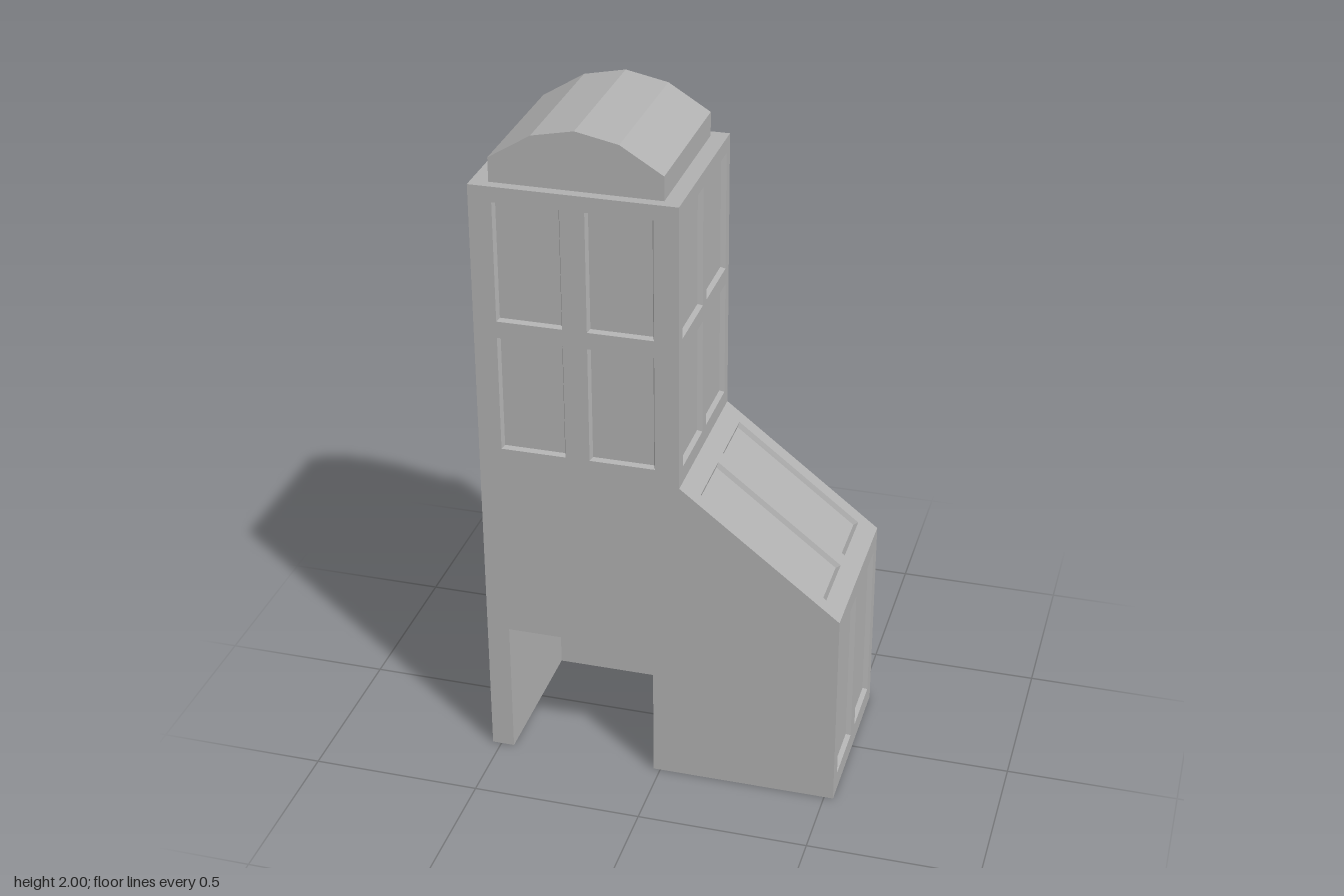
import * as THREE from 'three';
import { mergeGeometries } from 'three/addons/utils/BufferGeometryUtils.js';

const X0 = -0.527, X1 = 0.527, XT = 0.06, Z = 0.267; // body and tower limits
const TOP = 1.83, SHOULDER = 0.98, EAVE = 0.615;
const DEPTH = 0.014, TAPER = 0.006;                   // window recess
const IN_X = 0.46, IN_Z = 0.2, DOOR_X = -0.02, DOOR_Y = 0.42;

const V = (x, y, z) => new THREE.Vector3(x, y, z);
const toShape = pts => new THREE.Shape(pts.map(p => new THREE.Vector2(p[0], p[1])));
const rect = (x0, y0, x1, y1) => [[x0, y0], [x1, y0], [x1, y1], [x0, y1]];

// Flat four-sided face, corners counter-clockwise seen from its front
function quad(a, b, c, d) {
  const g = new THREE.BufferGeometry();
  g.setAttribute('position', new THREE.Float32BufferAttribute([a, b, c, a, c, d].flat(), 3));
  g.computeVertexNormals();
  return g;
}

export function createModel() {
  const model = new THREE.Group();
  const stone = new THREE.MeshStandardMaterial({ color: 0xb0b0b0, side: THREE.DoubleSide });
  stone.name = 'grey stone';

  function add(name, geometry) {
    const mesh = new THREE.Mesh(geometry, stone);
    mesh.name = name;
    model.add(mesh);
    return mesh;
  }

  // Wall drawn in its own plane, with recessed panels [x0, y0, x1, y1]
  function wall(name, outline, panels, origin, normal, up = V(0, 1, 0)) {
    const shape = toShape(outline);
    const parts = [];
    for (const [x0, y0, x1, y1] of panels) {
      const outer = rect(x0, y0, x1, y1);
      const inner = rect(x0 + TAPER, y0 + TAPER, x1 - TAPER, y1 - TAPER);
      shape.holes.push(new THREE.Path(outer.map(p => new THREE.Vector2(...p))));
      const o = outer.map(p => [...p, 0]), n = inner.map(p => [...p, -DEPTH]);
      parts.push(quad(...n));
      for (let i = 0; i < 4; i++) {
        const j = (i + 1) % 4;
        parts.push(quad(o[i], o[j], n[j], n[i]));
      }
    }
    const face = new THREE.ShapeGeometry(shape).toNonIndexed();
    face.deleteAttribute('uv');
    const geometry = mergeGeometries([face, ...parts]);
    const right = up.clone().cross(normal);
    geometry.applyMatrix4(new THREE.Matrix4().makeBasis(right, up, normal).setPosition(origin));
    return add(name, geometry);
  }

  // Two columns by any number of rows of panels
  const grid = (columns, rows) =>
    rows.flatMap(([y0, y1]) => columns.map(([x0, x1]) => [x0, y0, x1, y1]));
  const rows = [[1.03, 1.38], [1.43, 1.785]];
  const columns = [[-0.46, -0.27], [-0.2, -0.01]];
  const endColumns = [[-0.23, -0.02], [0.02, 0.23]];
  const lowColumns = [[-0.22, -0.028], [0.028, 0.22]];

  // Front wall with its doorway, and plain-based back wall
  const upper = [[X1, EAVE], [XT, SHOULDER], [XT, TOP], [X0, TOP], [X0, 0]];
  wall('frontWall',
    [[DOOR_X, 0], [X1, 0], ...upper, [-IN_X, 0], [-IN_X, DOOR_Y], [DOOR_X, DOOR_Y]],
    grid(columns, rows), V(0, 0, Z), V(0, 0, 1));
  wall('backWall',
    [[X1, 0], ...upper].map(([x, y]) => [-x, y]),
    grid(columns.map(([a, b]) => [-b, -a]), rows), V(0, 0, -Z), V(0, 0, -1));

  // End walls, sloping shoulder and tower deck
  wall('rightWall', rect(-Z, 0, Z, TOP), grid(endColumns, rows), V(X0, 0, 0), V(-1, 0, 0));
  wall('towerLeftWall', rect(-Z, SHOULDER, Z, TOP), grid(endColumns, rows), V(XT, 0, 0), V(1, 0, 0));
  wall('lowerLeftWall', rect(-Z, 0, Z, EAVE), grid(lowColumns, [[0.06, 0.555]]), V(X1, 0, 0), V(1, 0, 0));
  const slope = V(XT - X1, SHOULDER - EAVE, 0);
  const length = slope.length();
  slope.normalize();
  wall('slopedShoulder', rect(-Z, 0, Z, length), grid(lowColumns, [[0.063, length - 0.063]]),
    V(X1, EAVE, 0), V(slope.y, -slope.x, 0), slope);
  wall('towerDeck', rect(X0, -Z, XT, Z), [], V(0, TOP, 0), V(0, 1, 0), V(0, 0, -1));

  // Hollow base: inner walls, ceiling and bottom rim, from one plan [x, z]
  const plan = [[-IN_X, Z], [-IN_X, -IN_Z], [IN_X, -IN_Z], [IN_X, IN_Z], [DOOR_X, IN_Z], [DOOR_X, Z]];
  const sides = [];
  for (let i = 0; i < plan.length - 1; i++) {
    const [ax, az] = plan[i], [bx, bz] = plan[i + 1];
    sides.push(quad([ax, 0, az], [bx, 0, bz], [bx, DOOR_Y, bz], [ax, DOOR_Y, az]));
  }
  add('innerWalls', mergeGeometries(sides));
  const down = V(0, -1, 0), ahead = V(0, 0, 1);
  wall('innerCeiling', plan, [], V(0, DOOR_Y, 0), down, ahead);
  wall('bottomRim', [...plan, [X1, Z], [X1, -Z], [X0, -Z], [X0, Z]], [], V(0, 0, 0), down, ahead);

  // Faceted barrel roof
  const roof = new THREE.ExtrudeGeometry(toShape([
    [-0.477, TOP], [0.012, TOP], [0.012, 1.9], [-0.11, 1.975],
    [-0.233, 2], [-0.355, 1.975], [-0.477, 1.9],
  ]), { depth: 0.474, bevelEnabled: false });
  add('barrelRoof', roof).position.z = -0.237;

  return model;
}
